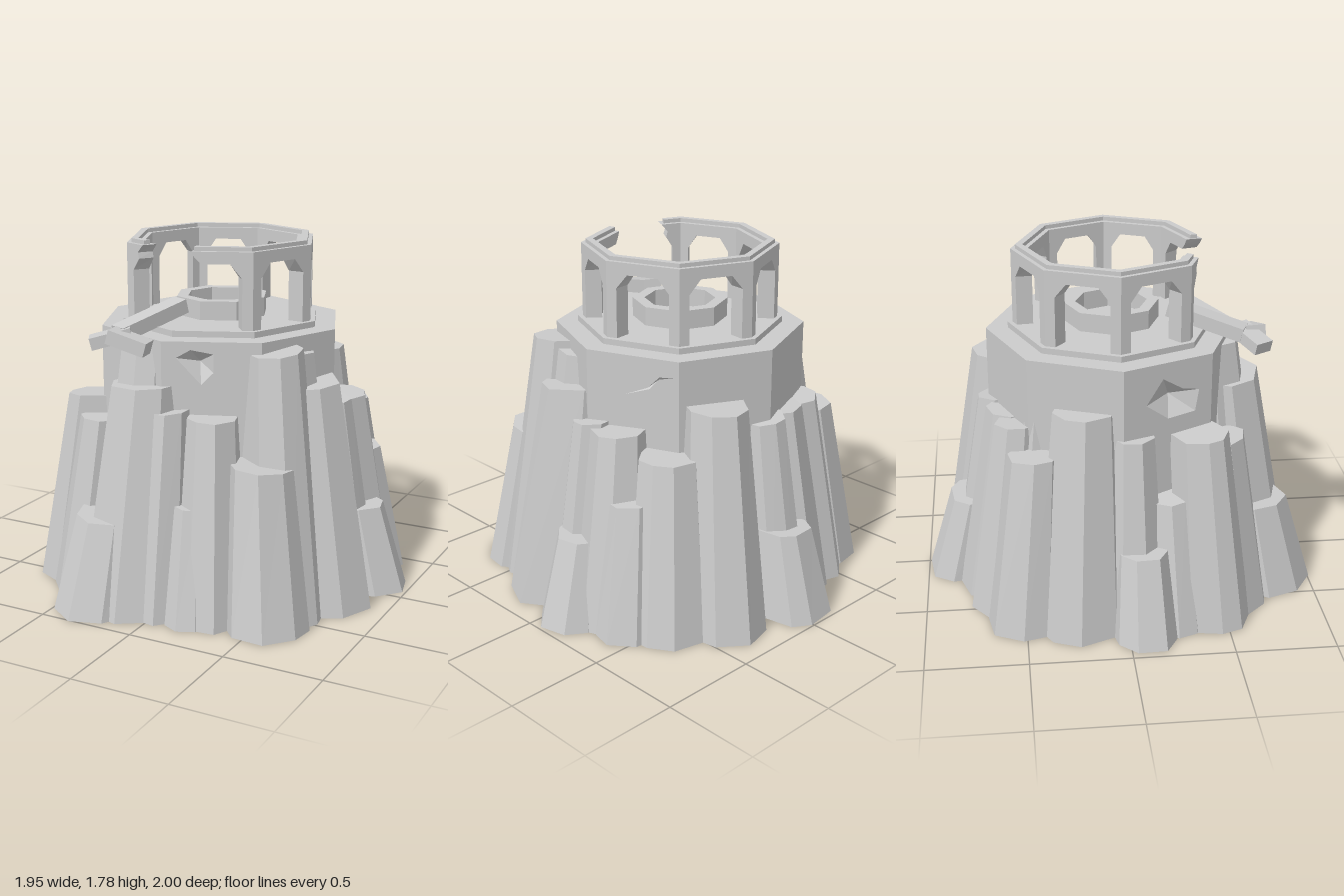
import * as THREE from 'three';

const mat = new THREE.MeshStandardMaterial({ color: 0xcccccc, flatShading: true, side: THREE.DoubleSide });
const SIDE = Math.PI / 4;
const HALF = Math.tan(SIDE / 2);
const APO = Math.cos(SIDE / 2);

function add(parent, name, geo) {
  const g = geo.index ? geo.toNonIndexed() : geo;
  g.computeVertexNormals();
  const mesh = new THREE.Mesh(g, mat);
  mesh.name = name;
  parent.add(mesh);
  return mesh;
}

const shapeOf = (pts) => new THREE.Shape(pts.map((p) => new THREE.Vector2(...p)));

// Octagonal ring or disc with corners on the axes
function octagon(parent, name, rOut, rIn, y0, y1) {
  const profile = [[rIn, y0], [rOut, y0], [rOut, y1], [rIn, y1], [rIn, y0]];
  const geo = new THREE.LatheGeometry(profile.map((p) => new THREE.Vector2(...p)), 8);
  return add(parent, name, geo);
}

// Straight wall on one side of an octagon, mitred towards the inner radius
function panel(parent, name, pts, rOut, rIn, side) {
  const depth = (rOut - rIn) * APO;
  const geo = new THREE.ExtrudeGeometry(shapeOf(pts), { depth, bevelEnabled: false });
  const p = geo.attributes.position;
  for (let i = 0; i < p.count; i++) {
    const t = p.getZ(i) / depth;
    p.setX(i, p.getX(i) * (rIn + (rOut - rIn) * t) / rOut);
    p.setZ(i, p.getZ(i) + rIn * APO);
  }
  const mesh = add(parent, name, geo);
  mesh.rotation.y = (side + 0.5) * SIDE;
  return mesh;
}

// Leaning, tapered rock shell: outer sides and a slanted top that runs back to the drum
function rock(parent, [x, z, r, h], k) {
  const sides = 8;
  const rand = (n) => { const s = Math.sin(n * 12.99 + k * 78.23) * 43758.5; return s - Math.floor(s); };
  const dist = Math.hypot(x, z);
  const out = new THREE.Vector3(x / dist, 0, z / dist);
  const topScale = 0.84 - 0.13 * h;
  const lean = 1 - (0.07 + 0.05 * h) / dist;
  const tilt = (rand(20) - 0.5) * 0.15;
  const spin = Math.atan2(z, x) + Math.PI / 8 + (rand(22) - 0.5) * 0.3;
  const base = [], top = [];
  for (let i = 0; i < sides; i++) {
    const a = spin + (i + 0.3 * (rand(i + 30) - 0.5)) / sides * 2 * Math.PI;
    const d = new THREE.Vector3(Math.cos(a), 0, Math.sin(a)).multiplyScalar(r * (0.97 + 0.14 * rand(i)));
    const inward = Math.min(0, d.dot(out));
    base.push(new THREE.Vector3(x, 0, z).add(d));
    const t = new THREE.Vector3(x, 0, z).multiplyScalar(lean).addScaledVector(d, topScale);
    t.addScaledVector(out, inward * 0.5);
    t.y = h - 0.01 + (d.x * out.z - d.z * out.x) * tilt;
    top.push(t);
  }
  const centre = top.reduce((s, t) => s.add(t), new THREE.Vector3()).divideScalar(sides);
  const tris = [];
  for (let i = 0; i < sides; i++) {
    const j = (i + 1) % sides;
    tris.push(centre, top[j], top[i]);
    const facing = base[i].clone().add(base[j]).multiplyScalar(0.5).sub(new THREE.Vector3(x, 0, z)).dot(out);
    if (facing > -0.3 * r) tris.push(base[i], top[i], base[j], top[i], top[j], base[j]);
  }
  add(parent, 'rockColumn', new THREE.BufferGeometry().setFromPoints(tris));
}

// Square beam between two points
function beam(parent, name, a, b, w, h) {
  const from = new THREE.Vector3(...a), to = new THREE.Vector3(...b);
  const mesh = add(parent, name, new THREE.BoxGeometry(w, h, from.distanceTo(to)));
  mesh.position.copy(from).lerp(to, 0.5);
  mesh.lookAt(to);
}

export function createModel() {
  const model = new THREE.Group();
  model.name = 'ruinedRockTower';
  const tower = new THREE.Group();
  tower.name = 'tower';
  tower.position.set(-0.03, 0, -0.015);
  model.add(tower);

  // Drum walls; three sides are damaged
  const damage = {
    0: { pts: [[-0.17, 1.27], [-0.1, 1.31], [0.01, 1.29], [0.01, 1.2], [-0.05, 1.14]], depth: 0.07 },
    6: { pts: [[-0.12, 1.15], [-0.03, 1.27], [0.08, 1.2], [0.17, 1.18], [0.15, 1.07], [0, 1.06]], depth: 0.08 },
    2: { pts: [[-0.04, 1.15], [0.08, 1.2], [0.14, 1.26], [0.22, 1.27], [0.14, 1.25], [0.09, 1.195]], depth: 0.03 },
  };
  const R = 0.63;
  for (let i = 0; i < 8; i++) {
    const w = R * APO * HALF;
    const wall = shapeOf([[-w, 0.2], [w, 0.2], [w, 1.35], [-w, 1.35]]);
    const side = new THREE.Group();
    side.name = 'drumSide';
    side.rotation.y = (i + 0.5) * SIDE;
    tower.add(side);
    const d = damage[i];
    if (d) {
      wall.holes.push(new THREE.Path(d.pts.map((p) => new THREE.Vector2(...p))));
      // Sunken faces of the dent
      const n = d.pts.length;
      const cx = d.pts.reduce((s, p) => s + p[0], 0) / n, cy = d.pts.reduce((s, p) => s + p[1], 0) / n;
      const v = [];
      d.pts.forEach((p, j) => {
        const q = d.pts[(j + 1) % n];
        v.push(q[0], q[1], 0, p[0], p[1], 0, cx, cy, -d.depth);
      });
      const dent = new THREE.BufferGeometry();
      dent.setAttribute('position', new THREE.Float32BufferAttribute(v, 3));
      add(side, 'wallDent', dent).position.z = R * APO;
    }
    add(side, 'drumWall', new THREE.ShapeGeometry(wall)).position.z = R * APO;
  }
  octagon(tower, 'drumTop', R, 0, 1.34, 1.35);
  octagon(tower, 'galleryFloor', 0.52, 0, 1.35, 1.38);
  octagon(tower, 'hearthRing', 0.24, 0.18, 1.38, 1.475);
  octagon(tower, 'innerShaft', 0.18, 0, 0.2, 1.34);

  // Arcade with the front corner broken away
  const ro = 0.495, ri = 0.41, w = ro * APO * HALF;
  const y0 = 1.38, y1 = 1.76, o = 0.137;
  for (let i = 0; i < 8; i++) {
    let pts = [[-w, y0], [-o, y0], [-o, 1.63], [-0.08, 1.7], [0.08, 1.7], [o, 1.63], [o, y0], [w, y0], [w, y1], [-w, y1]];
    let cap = [-w, w];
    if (i === 0) {
      pts = [[o, y0], [w, y0], [w, y1], [-0.11, y1], [-0.09, 1.73], [-0.06, 1.7], [0.08, 1.7], [o, 1.63]];
      cap = [-0.1, w];
    } else if (i === 7) {
      pts = [[-w, y0], [-o, y0], [-o, 1.63], [-0.09, 1.69], [-0.1, 1.72], [-0.06, y1], [-w, y1]];
      cap = [-w, -0.08];
    }
    panel(tower, 'archWall', pts, ro, ri, i);
    const k = 0.472 / ro;
    const [a, b] = cap.map((u) => u * k);
    panel(tower, 'cornice', [[a, y1], [b, y1], [b, 1.78], [a, 1.78]], 0.472, 0.435, i);
  }

  // Fallen piece of the arcade
  const fallen = new THREE.Group();
  fallen.name = 'fallenLintel';
  model.add(fallen);
  beam(fallen, 'fallenBeam', [-0.11, 1.46, 0.27], [-0.26, 1.365, 0.62], 0.1, 0.07);
  beam(fallen, 'fallenCorner', [-0.2, 1.375, 0.6], [-0.37, 1.325, 0.7], 0.1, 0.06);
  beam(fallen, 'fallenPost', [-0.27, 1.37, 0.68], [-0.08, 1.315, 0.65], 0.1, 0.07);

  // Rock columns: x, z, radius, height
  const rocks = [
    [-0.05, -0.82, 0.18, 0.45], [0.79, -0.1, 0.18, 0.45], [-0.81, 0.08, 0.16, 0.45], [-0.31, 0.78, 0.22, 0.48],
    [0.32, -0.69, 0.21, 1.13], [0.56, -0.53, 0.19, 0.9], [0.7, -0.39, 0.15, 0.68], [0.68, -0.24, 0.18, 0.99],
    [0.7, -0.03, 0.14, 1.0], [0.62, 0.2, 0.27, 1.13], [0.53, 0.61, 0.21, 0.79], [0.56, 0.44, 0.2, 1.31],
    [0.59, 0.24, 0.16, 1.28], [0.18, 0.75, 0.12, 0.58], [0.25, 0.65, 0.18, 1.0], [0.0, 0.72, 0.14, 1.02],
    [-0.18, 0.65, 0.26, 1.13], [-0.22, 0.6, 0.2, 1.33], [-0.51, 0.57, 0.17, 0.91], [-0.67, 0.43, 0.18, 0.99],
    [-0.7, 0.26, 0.15, 0.68], [-0.71, 0.04, 0.14, 1.0], [-0.68, -0.24, 0.21, 1.13], [-0.63, -0.5, 0.18, 0.9],
    [-0.44, -0.59, 0.17, 1.0], [-0.24, -0.64, 0.18, 1.0], [-0.04, -0.71, 0.15, 1.0], [-0.47, -0.47, 0.13, 1.25],
  ];
  const cliff = new THREE.Group();
  cliff.name = 'rockCliff';
  model.add(cliff);
  rocks.forEach((r, k) => rock(cliff, r, k + 1));
  return model;
}
